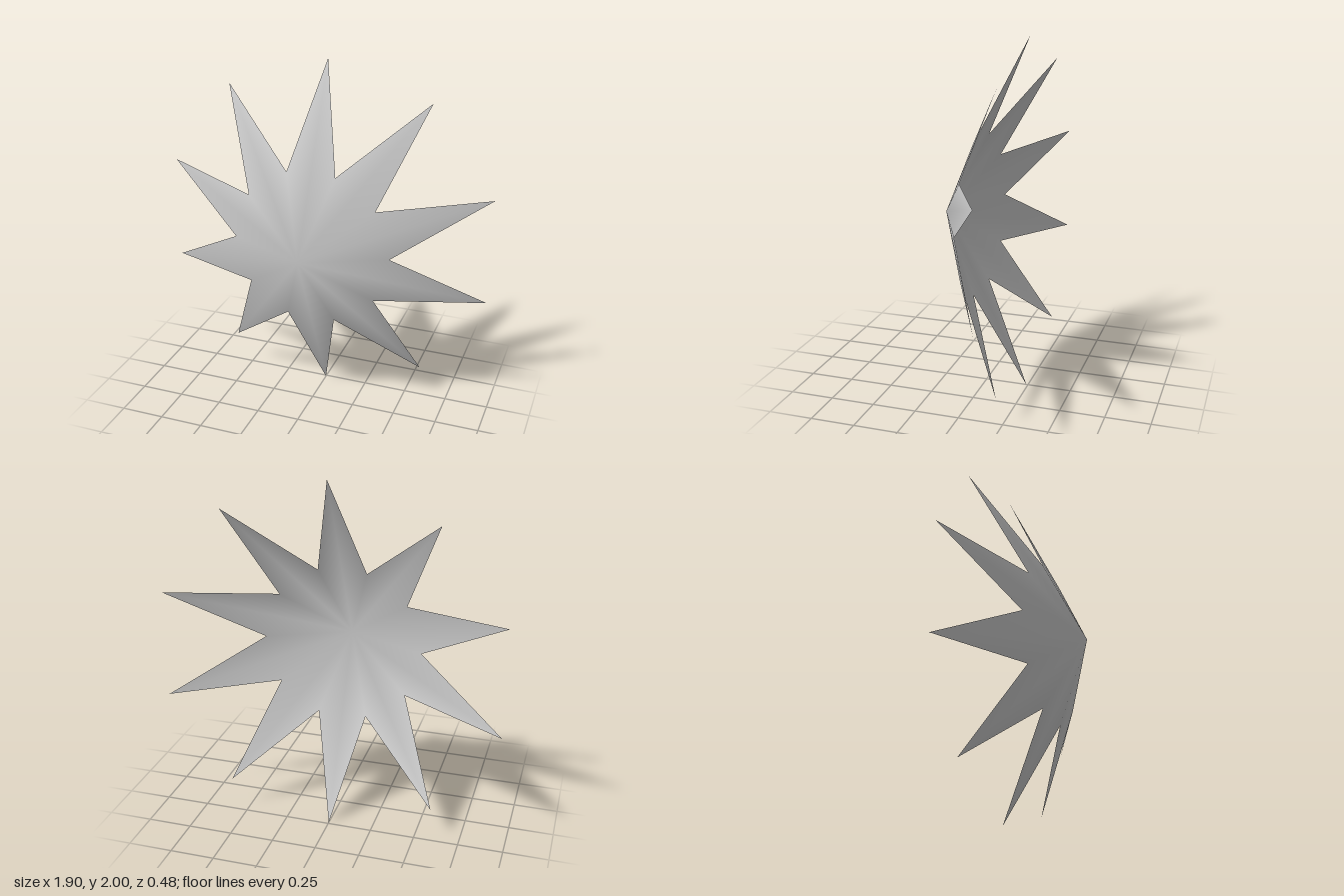
import * as THREE from 'three';

const POINTS = 10;
const TIP = { radius: 1, z: -0.24 };
const VALLEY = { radius: 0.452, z: 0.032 };
const APEX_Z = 0.24;

// Thin shell: a fan from the raised centre to alternating tips and valleys
function starGeometry() {
  const count = POINTS * 2;
  const positions = [0, 0, APEX_Z];
  const indices = [];
  for (let i = 0; i < count; i++) {
    const { radius, z } = i % 2 ? VALLEY : TIP;
    const angle = Math.PI / 2 + (i / count) * Math.PI * 2;
    positions.push(Math.cos(angle) * radius, Math.sin(angle) * radius, z);
    indices.push(0, i + 1, ((i + 1) % count) + 1);
  }
  const geometry = new THREE.BufferGeometry();
  geometry.setAttribute('position', new THREE.Float32BufferAttribute(positions, 3));
  geometry.setIndex(indices);
  geometry.computeVertexNormals();
  return geometry;
}

export function createModel() {
  const group = new THREE.Group();
  group.name = 'star';
  const material = new THREE.MeshStandardMaterial({ color: 0xcccccc, side: THREE.DoubleSide });
  const shell = new THREE.Mesh(starGeometry(), material);
  shell.name = 'starShell';
  shell.position.y = 1;
  group.add(shell);
  return group;
}
